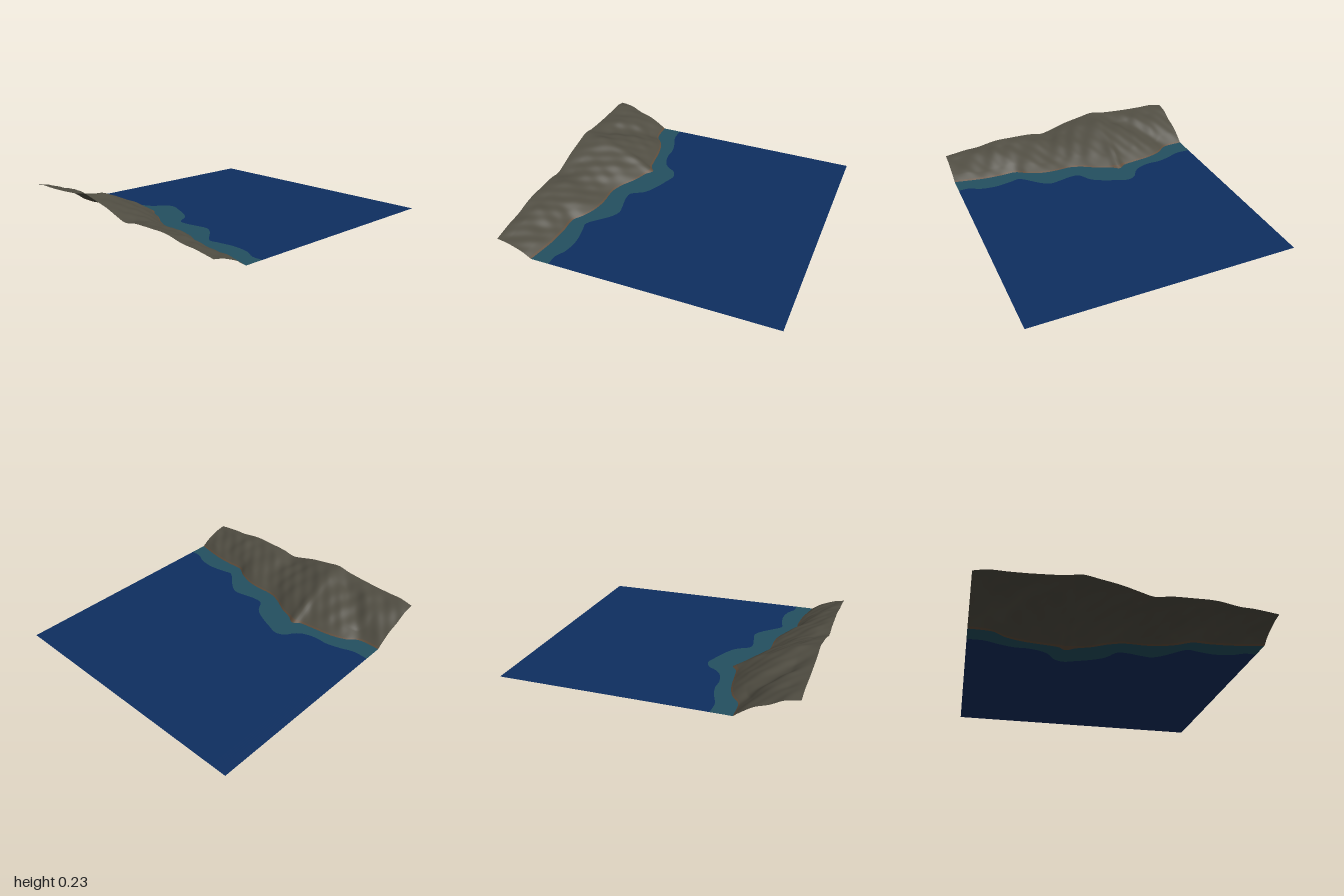
import * as THREE from 'three';

const HALF = 0.96;   // half depth of the tile
const ROWS = 128;

// Smooth curve through [z, value] points, sampled by z
function curve(pts) {
  const slope = (i) => {
    const a = pts[Math.max(i - 1, 0)], b = pts[Math.min(i + 1, pts.length - 1)];
    return (b[1] - a[1]) / (b[0] - a[0]);
  };
  return (z) => {
    let i = 0;
    while (i < pts.length - 2 && z > pts[i + 1][0]) i++;
    const [z0, v0] = pts[i], [z1, v1] = pts[i + 1];
    const d = z1 - z0, t = (z - z0) / d, t2 = t * t, t3 = t2 * t;
    return v0 * (2 * t3 - 3 * t2 + 1) + v1 * (3 * t2 - 2 * t3)
      + d * (slope(i) * (t3 - 2 * t2 + t) + slope(i + 1) * (t3 - t2));
  };
}

// Waterline
const shore = curve([[-0.96, -0.6], [-0.8, -0.59], [-0.72, -0.53], [-0.6, -0.49],
  [-0.45, -0.47], [-0.36, -0.455], [-0.31, -0.42], [-0.25, -0.46], [-0.15, -0.5], [-0.05, -0.56],
  [0.05, -0.595], [0.2, -0.595], [0.3, -0.61], [0.4, -0.65], [0.48, -0.7],
  [0.6, -0.7], [0.75, -0.71], [0.96, -0.75]]);

// Outer edge of the shallow water
const shelf = curve([[-0.96, -0.455], [-0.85, -0.455], [-0.75, -0.42], [-0.65, -0.395],
  [-0.55, -0.395], [-0.45, -0.365], [-0.4, -0.32], [-0.37, -0.27], [-0.3, -0.24],
  [-0.22, -0.265], [-0.1, -0.315], [-0.02, -0.37], [0.03, -0.45], [0.1, -0.46],
  [0.2, -0.44], [0.28, -0.43], [0.35, -0.47], [0.48, -0.59], [0.55, -0.58],
  [0.68, -0.56], [0.8, -0.575], [0.88, -0.615], [0.96, -0.615]]);

// Height of the land along its outer edge
const crest = curve([[-0.96, 0.175], [-0.87, 0.194], [-0.75, 0.195], [-0.6, 0.2], [-0.4, 0.215],
  [-0.3, 0.232], [-0.2, 0.215], [-0.05, 0.185], [0.05, 0.155], [0.15, 0.13],
  [0.25, 0.145], [0.4, 0.15], [0.55, 0.15], [0.7, 0.125], [0.8, 0.12], [0.96, 0.1]]);

// Slope rising from the waterline, with a diagonal gully and fine folds
function landHeight(x, z) {
  const s = shore(z);
  const t = THREE.MathUtils.clamp((s - x) / (s + 1), 0, 1);
  const fade = Math.min(1, 5 * t) * Math.min(1, 4 * (1 - t));
  const off = (z + 0.4 + 0.95 * (x + 1)) / 0.09;
  const gully = -0.024 * Math.exp(-off * off);
  const folds = 0.005 * Math.sin(15 * z + 9 * x + 2 * Math.sin(7 * x))
    + 0.003 * Math.sin(34 * z - 21 * x + Math.sin(11 * z))
    + 0.0018 * Math.sin(57 * z + 43 * x);
  return Math.max(0, crest(z) * t * (1.7 - 0.7 * t) + fade * (gully + folds));
}

// Upward-facing sheet; columns[] are functions of z giving x, ordered left to right
function sheet(columns, height) {
  const pos = [], index = [], n = ROWS + 1;
  for (const col of columns) {
    for (let i = 0; i <= ROWS; i++) {
      const z = -HALF + (2 * HALF * i) / ROWS, x = col(z);
      pos.push(x, height(x, z), z);
    }
  }
  for (let c = 0; c < columns.length - 1; c++) {
    for (let i = 0; i < ROWS; i++) {
      const a = c * n + i, b = a + n;
      index.push(a, a + 1, b, b, a + 1, b + 1);
    }
  }
  const geo = new THREE.BufferGeometry();
  geo.setAttribute('position', new THREE.Float32BufferAttribute(pos, 3));
  geo.setIndex(index);
  geo.computeVertexNormals();
  return geo;
}

function material(name, color) {
  return new THREE.MeshStandardMaterial({ name, color, side: THREE.DoubleSide });
}

export function createModel() {
  const rock = material('rock', 0x504d42);
  const earth = material('shoreEarth', 0x5e4c3a);
  const shallow = material('shallowWater', 0x245060);
  const deep = material('deepWater', 0x0e2e60);

  const group = new THREE.Group();
  group.name = 'coast';
  const add = (name, geo, mat) => {
    const mesh = new THREE.Mesh(geo, mat);
    mesh.name = name;
    group.add(mesh);
  };
  const flat = () => 0;

  // Hillside with a narrow strip of bare earth at the waterline
  const STEPS = 44;
  const strip = (z) => shore(z) - 0.012 - 0.015 * Math.exp(-(((z + 0.31) / 0.05) ** 2));
  const columns = [];
  for (let i = 0; i <= STEPS; i++) {
    columns.push((z) => THREE.MathUtils.lerp(-1, strip(z), i / STEPS));
  }
  columns.push(shore);
  const land = sheet(columns, landHeight);
  land.addGroup(0, STEPS * ROWS * 6, 0);
  land.addGroup(STEPS * ROWS * 6, ROWS * 6, 1);
  add('hillside', land, [rock, earth]);

  // Water
  add('shallows', sheet([shore, shelf], flat), shallow);
  add('openSea', sheet([shelf, () => 1], flat), deep);
  return group;
}
